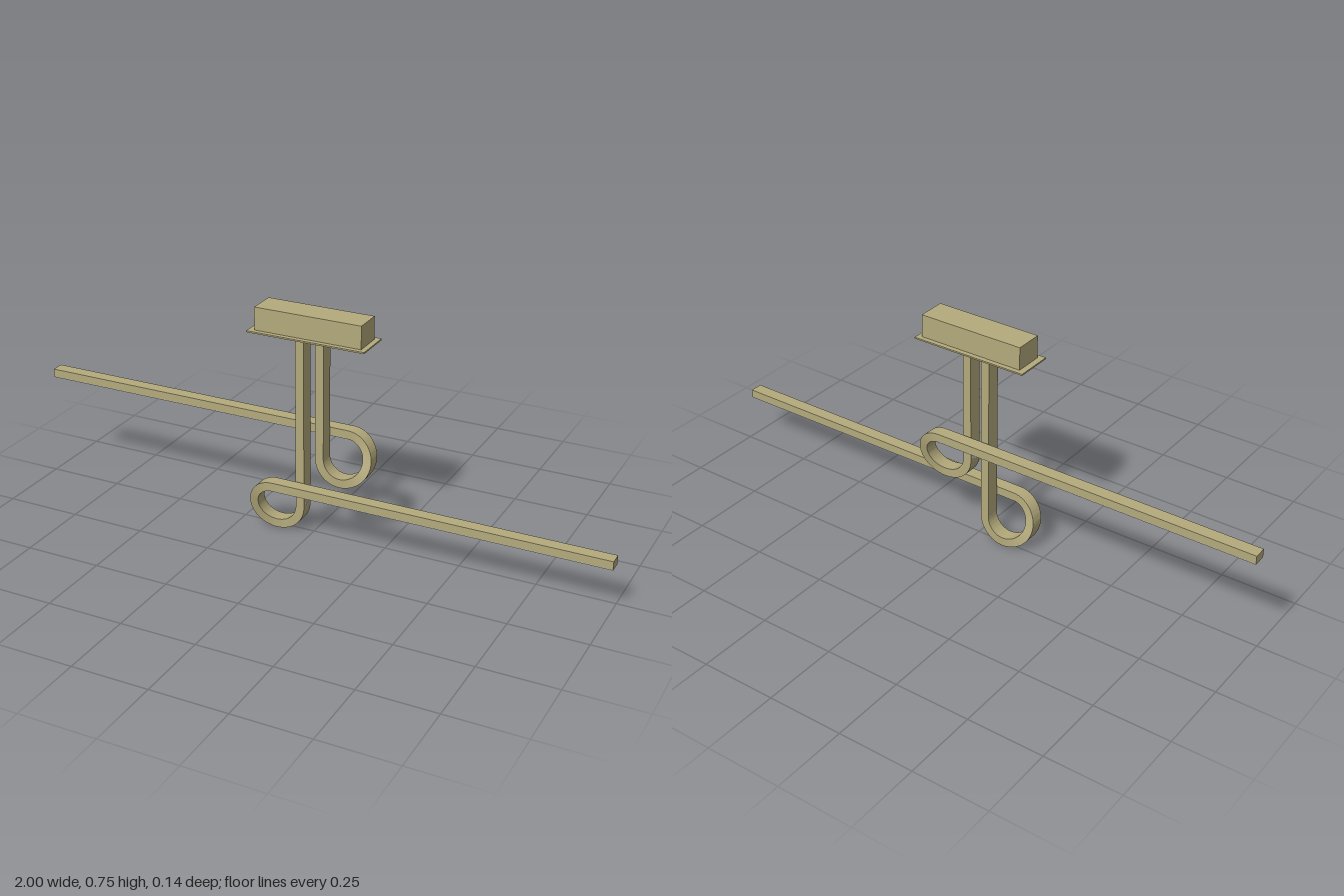
import * as THREE from 'three';
import { toCreasedNormals } from 'three/addons/utils/BufferGeometryUtils.js';

const RADIUS = 0.0745;   // centre line of the loop
const HALF = 0.0145;     // half thickness of the strip
const POST_W = 0.0235;   // half depth of the post
const BAR_W = 0.0215;    // half depth of the bar
const SHIFT = 0.0495;    // sideways drift from post to bar

const brass = new THREE.MeshStandardMaterial({ color: 0xb4aa7c });
brass.name = 'brushed brass';
const diffuser = new THREE.MeshStandardMaterial({ color: 0xd8d8e2 });
diffuser.name = 'white diffuser';

function box(name, material, x0, x1, y0, y1, z0, z1) {
  const mesh = new THREE.Mesh(new THREE.BoxGeometry(x1 - x0, y1 - y0, z1 - z0), material);
  mesh.position.set((x0 + x1) / 2, (y0 + y1) / 2, (z0 + z1) / 2);
  mesh.name = name;
  return mesh;
}

// Three-quarter loop of rectangular section that drifts sideways in z
function loopGeometry() {
  const steps = 60;
  const ring = (i) => {
    const t = i / steps;
    const a = -t * Math.PI * 1.5;
    const s = THREE.MathUtils.smoothstep(t, 0.2, 1);
    const w = THREE.MathUtils.lerp(POST_W, BAR_W, s);
    return [[-1, -1], [1, -1], [1, 1], [-1, 1]].map(([u, v]) => [
      Math.cos(a) * (RADIUS + u * HALF),
      Math.sin(a) * (RADIUS + u * HALF),
      s * SHIFT + v * w,
    ]);
  };
  const pos = [];
  for (let i = 0; i < steps; i++) {
    const p = ring(i), q = ring(i + 1);
    for (let k = 0; k < 4; k++) {
      const n = (k + 1) % 4;
      pos.push(...p[k], ...p[n], ...q[k], ...p[n], ...q[n], ...q[k]);
    }
  }
  const geo = new THREE.BufferGeometry();
  geo.setAttribute('position', new THREE.Float32BufferAttribute(pos, 3));
  return toCreasedNormals(geo, 0.6);
}

// Post, loop and bar around a loop centre at (cx, cy)
function createArm(name, cx, cy) {
  const arm = new THREE.Group();
  arm.name = name;
  const px = cx + RADIUS, by = cy + RADIUS;

  arm.add(box('post', brass, px - HALF, px + HALF, cy, 0.674, -POST_W, POST_W));

  const loop = new THREE.Mesh(loopGeometry(), brass);
  loop.name = 'loop';
  loop.position.set(cx, cy, 0);
  arm.add(loop);

  arm.add(box('bar', brass, cx, 1, by - HALF + 0.002, by + HALF, SHIFT - BAR_W, SHIFT + BAR_W));
  arm.add(box('lightStrip', diffuser, cx, 1, by - HALF, by - HALF + 0.002, SHIFT - BAR_W, SHIFT + BAR_W));

  // Tiny pins on the post just above the loop
  for (const [y, z] of [[0.01, 0.014], [0.004, 0], [0.01, -0.014]]) {
    const pin = new THREE.Mesh(new THREE.CylinderGeometry(0.004, 0.004, 0.001, 12), diffuser);
    pin.rotation.z = -Math.PI / 2;
    pin.position.set(px + HALF, cy + y, z);
    pin.name = 'pin';
    arm.add(pin);
  }
  return arm;
}

export function createModel() {
  const model = new THREE.Group();
  model.name = 'ceilingLamp';

  // Ceiling mount
  model.add(box('canopy', brass, -0.18, 0.18, 0.677, 0.752, -0.047, 0.047));
  model.add(box('canopyPlate', brass, -0.2, 0.197, 0.672, 0.677, -0.063, 0.063));

  // Two arms, the upper one turned half a circle
  model.add(createArm('lowerArm', -0.113, 0.089));
  const upper = createArm('upperArm', -0.104, 0.276);
  upper.rotation.y = Math.PI;
  model.add(upper);

  return model;
}
